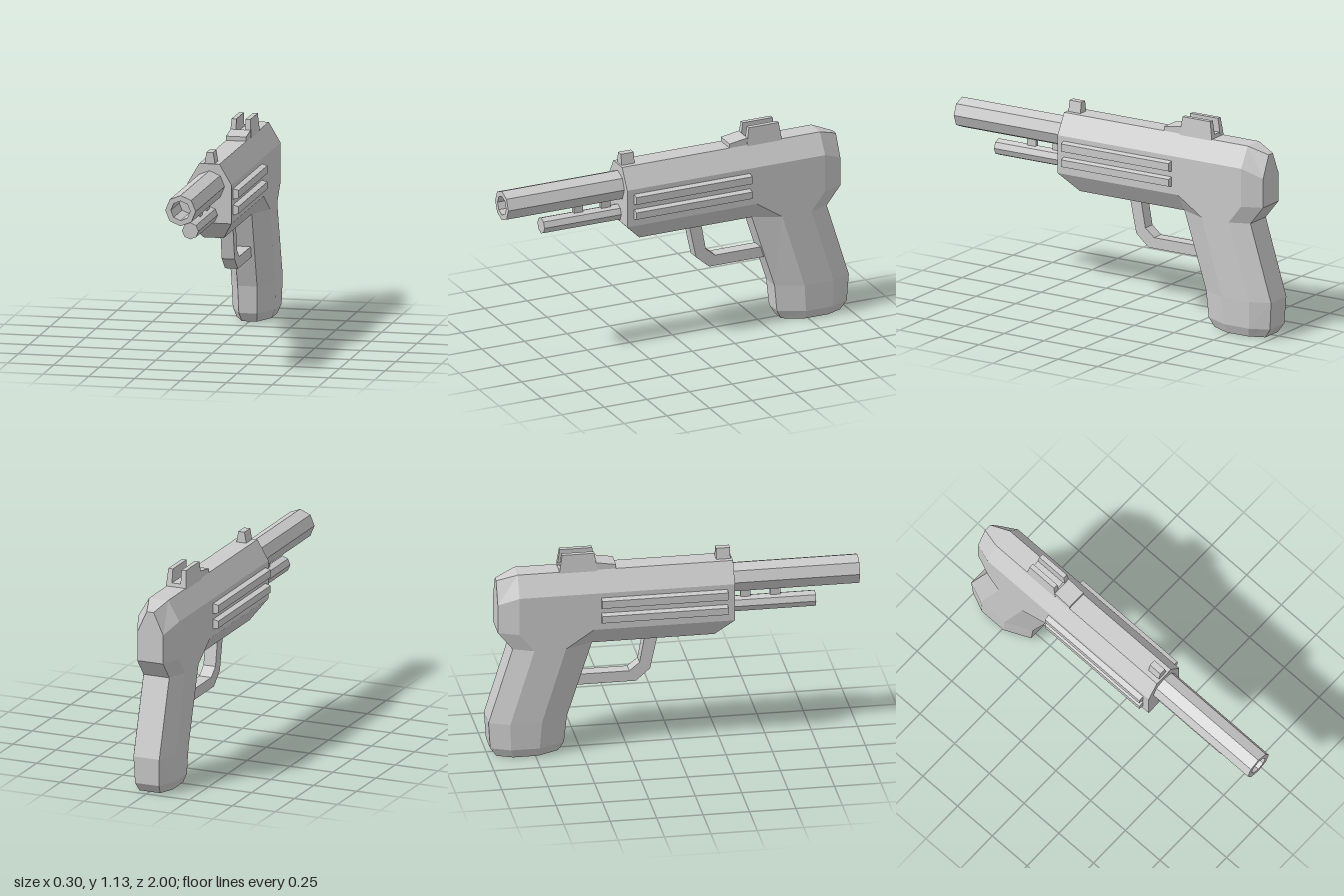
import * as THREE from 'three';

const material = new THREE.MeshStandardMaterial({ color: 0xcccccc, flatShading: true });

// Joins mirrored cross-sections; each ring lists only its +x corners.
function loft(rings) {
  const full = rings.map((r) => {
    const first = r[0], last = r[r.length - 1];
    return [[0, first[1], first[2]], ...r, [0, last[1], last[2]]];
  });
  const out = [];
  const same = (p, q) => p.every((v, i) => Math.abs(v - q[i]) < 1e-6);
  const tri = (a, b, c) => {
    if (same(a, b) || same(b, c) || same(a, c)) return;
    out.push(...a, ...b, ...c);
    for (const p of [a, c, b]) out.push(-p[0], p[1], p[2]);
  };
  const n = full[0].length, end = full[full.length - 1];
  for (let k = 0; k < full.length - 1; k++) {
    const a = full[k], b = full[k + 1];
    for (let i = 0; i < n - 1; i++) {
      tri(a[i], a[i + 1], b[i + 1]);
      tri(a[i], b[i + 1], b[i]);
    }
  }
  for (let i = 1; i < n - 1; i++) {
    tri(full[0][0], full[0][i + 1], full[0][i]);
    tri(end[0], end[i], end[i + 1]);
  }
  const geo = new THREE.BufferGeometry();
  geo.setAttribute('position', new THREE.Float32BufferAttribute(out, 3));
  geo.computeVertexNormals();
  return geo;
}

const shapeOf = (pts) => new THREE.Shape(pts.map(([u, v]) => new THREE.Vector2(u, v)));

// Side profile in (z, y), extruded across x and centred on x = 0.
function sideExtrude(pts, width) {
  const geo = new THREE.ExtrudeGeometry(shapeOf(pts), { depth: width, bevelEnabled: false });
  return geo.translate(0, 0, -width / 2).rotateY(-Math.PI / 2);
}

// Eight-sided turned part running along z.
function turned(pts, y) {
  const geo = new THREE.LatheGeometry(pts.map(([r, z]) => new THREE.Vector2(r, z)), 8);
  return geo.rotateX(Math.PI / 2).translate(0, y, 0);
}

export function createModel() {
  const model = new THREE.Group();
  const add = (name, geo) => {
    const mesh = new THREE.Mesh(geo, material);
    mesh.name = name;
    model.add(mesh);
    return mesh;
  };

  // Body: chamfered bar, undercut nose and tapered back
  const section = (z, bottom, bottomZ = z) => [
    [0.055, 1.04, z], [0.12, 0.93, z], [0.12, 0.72, z], [...bottom, bottomZ],
  ];
  add('body', loft([
    section(0.32, [0.12, 0.72]),
    section(0.32, [0.055, 0.62], 0.22),
    section(-0.44, [0.055, 0.62]),
    section(-0.45, [0.12, 0.72]),
    section(-0.84, [0.12, 0.72]),
    [[0.02, 1.0, -0.95], [0.075, 0.88, -0.95], [0.075, 0.72, -0.95], [0.075, 0.72, -0.95]],
  ]));

  // Grip: octagonal rings [y, half width, back half, front half, z of back, rear side, front side, front]
  const gripRings = [
    [0.72, 0.12, 0.075, 0.055, -0.95, -0.84, -0.44, -0.44],
    [0.62, 0.12, 0.075, 0.055, -0.87, -0.76, -0.59, -0.44],
    [0.2, 0.12, 0.075, 0.053, -1.0, -0.89, -0.72, -0.575],
    [0.05, 0.115, 0.07, 0.05, -0.99, -0.885, -0.73, -0.59],
    [0, 0.095, 0.06, 0.04, -0.955, -0.87, -0.735, -0.62],
  ];
  add('grip', loft(gripRings.map(([y, w, bw, fw, b, rs, fs, f]) =>
    [[bw, y, b], [w, y, rs], [w, y, fs], [fw, y, f]])));

  // Barrel with a recessed bore, and the rod beneath it
  add('barrel', turned([[0, 0.3], [0.083, 0.3], [0.083, 1], [0.053, 1], [0.053, 0.8], [0, 0.8]], 0.92));
  add('lowerRod', turned([[0, 0.3], [0.045, 0.3], [0.045, 0.77], [0, 0.77]], 0.765));
  for (const z of [0.555, 0.395]) {
    add('rodBracket', new THREE.BoxGeometry(0.022, 0.07, 0.055).translate(0, 0.825, z));
  }

  // Side rails
  for (const side of [1, -1]) {
    for (const [y0, y1] of [[0.76, 0.815], [0.845, 0.903]]) {
      const pts = [[0.11, y0], [0.12, y0], [0.15, y0 + 0.008], [0.15, y1 - 0.008], [0.12, y1], [0.11, y1]];
      const shape = shapeOf(pts.map(([x, y]) => [x * side, y]));
      add('sideRail', new THREE.ExtrudeGeometry(shape, { depth: 0.68, bevelEnabled: false }).translate(0, 0, -0.4));
    }
  }

  // Front sight
  add('frontSight', loft([
    [[0.018, 1.1, 0.235], [0.018, 1.1, 0.31]],
    [[0.03, 1.03, 0.235], [0.03, 1.03, 0.31]],
  ]));

  // Rear sight: ramped base and two prongs that widen at the foot
  add('rearSightBase', sideExtrude([
    [-0.31, 1.03], [-0.31, 1.063], [-0.415, 1.08], [-0.43, 1.06], [-0.61, 1.06], [-0.615, 1.03],
  ], 0.11));
  for (const side of [1, -1]) {
    const geo = sideExtrude([[-0.41, 1.03], [-0.425, 1.135], [-0.6, 1.135], [-0.616, 1.03]], 0.026);
    const pos = geo.attributes.position;
    for (let i = 0; i < pos.count; i++) {
      const flare = pos.getY(i) < 1.05 && pos.getX(i) * side > 0 ? 0.008 * side : 0;
      pos.setX(i, pos.getX(i) + 0.038 * side + flare);
    }
    geo.computeVertexNormals();
    add('rearSightProng', geo);
  }

  // Trigger guard
  add('triggerGuard', sideExtrude([
    [-0.08, 0.64], [-0.123, 0.437], [-0.2, 0.37], [-0.6, 0.37],
    [-0.6, 0.43], [-0.235, 0.43], [-0.18, 0.475], [-0.15, 0.64],
  ], 0.07));

  return model;
}
